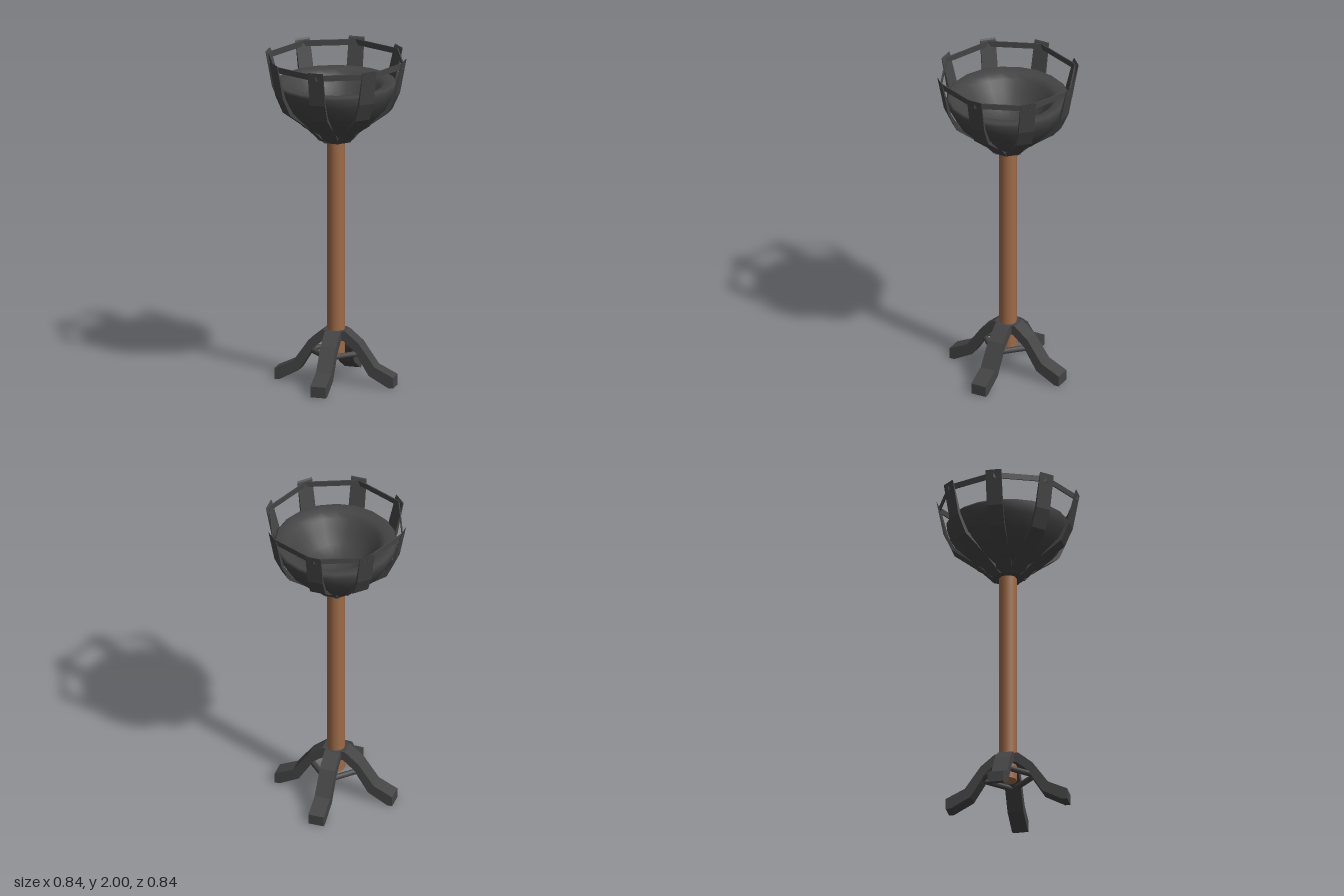
import * as THREE from 'three';

const iron = new THREE.MeshStandardMaterial({ color: 0x444444, side: THREE.DoubleSide });
const wood = new THREE.MeshStandardMaterial({ color: 0x9c6b47 });
const vecs = (pts) => pts.map(([x, y]) => new THREE.Vector2(x, y));

function add(parent, name, geometry, material = iron) {
  const mesh = new THREE.Mesh(geometry, material);
  mesh.name = name;
  parent.add(mesh);
  return mesh;
}

// Bar with a side profile (radius, height) and a constant width
function profileBar(points, width) {
  const geo = new THREE.ExtrudeGeometry(new THREE.Shape(vecs(points)), { depth: width, bevelEnabled: false });
  return geo.translate(0, 0, -width / 2);
}

// Places a bar between neighbouring spokes; the bar's length lies along z
function addRing(parent, name, geometry, count, radius, y) {
  const apothem = radius * Math.cos(Math.PI / count);
  for (let i = 0; i < count; i++) {
    const a = ((i + 0.5) * 2 * Math.PI) / count;
    const bar = add(parent, name, geometry);
    bar.position.set(Math.cos(a) * apothem, y, -Math.sin(a) * apothem);
    bar.rotation.y = a;
  }
}

export function createModel() {
  const model = new THREE.Group();
  model.name = 'standingBrazier';

  // Wooden pole, ending a little above the ground
  add(model, 'pole', new THREE.CylinderGeometry(0.052, 0.052, 1.34, 20), wood).position.y = 0.84;

  // Four bent feet
  const legGeo = profileBar([
    [0.03, 0.325], [0.07, 0.325], [0.155, 0.255], [0.25, 0.12], [0.365, 0.065],
    [0.365, 0], [0.335, 0], [0.215, 0.065], [0.125, 0.21], [0.06, 0.265], [0.03, 0.265],
  ], 0.095);
  for (let i = 0; i < 4; i++) add(model, 'leg', legGeo).rotation.y = (i * Math.PI) / 2;

  // Round braces joining the feet in a square
  const braceRadius = 0.165;
  const braceGeo = new THREE.CylinderGeometry(0.017, 0.017, 2 * braceRadius * Math.sin(Math.PI / 4), 10);
  braceGeo.rotateX(Math.PI / 2);
  addRing(model, 'legBrace', braceGeo, 4, braceRadius, 0.19);

  // Thick fire bowl with a broad rim
  const bowlGeo = new THREE.LatheGeometry(vecs([
    [0, 1.49], [0.1, 1.51], [0.2, 1.575], [0.29, 1.665], [0.345, 1.76], [0.365, 1.822],
    [0.352, 1.838], [0.29, 1.832], [0.255, 1.805], [0.22, 1.75], [0.16, 1.685], [0.08, 1.645], [0, 1.635],
  ]), 20, Math.PI / 2);
  add(model, 'bowl', bowlGeo);

  // Eight cage straps, tapering to a thin top edge
  const strapGeo = profileBar([
    [0.03, 1.48], [0.09, 1.48], [0.17, 1.56], [0.33, 1.68], [0.38, 1.79], [0.42, 2],
    [0.414, 1.99], [0.362, 1.79], [0.31, 1.69], [0.15, 1.58], [0.03, 1.52],
  ], 0.095);
  for (let i = 0; i < 8; i++) add(model, 'cageStrap', strapGeo).rotation.y = (i * Math.PI) / 4;

  // Flat band joining the tops of the straps
  const bandRadius = 0.413;
  const bandGeo = new THREE.BoxGeometry(0.007, 0.035, 2 * bandRadius * Math.sin(Math.PI / 8));
  addRing(model, 'cageBand', bandGeo, 8, bandRadius, 1.967);

  return model;
}
